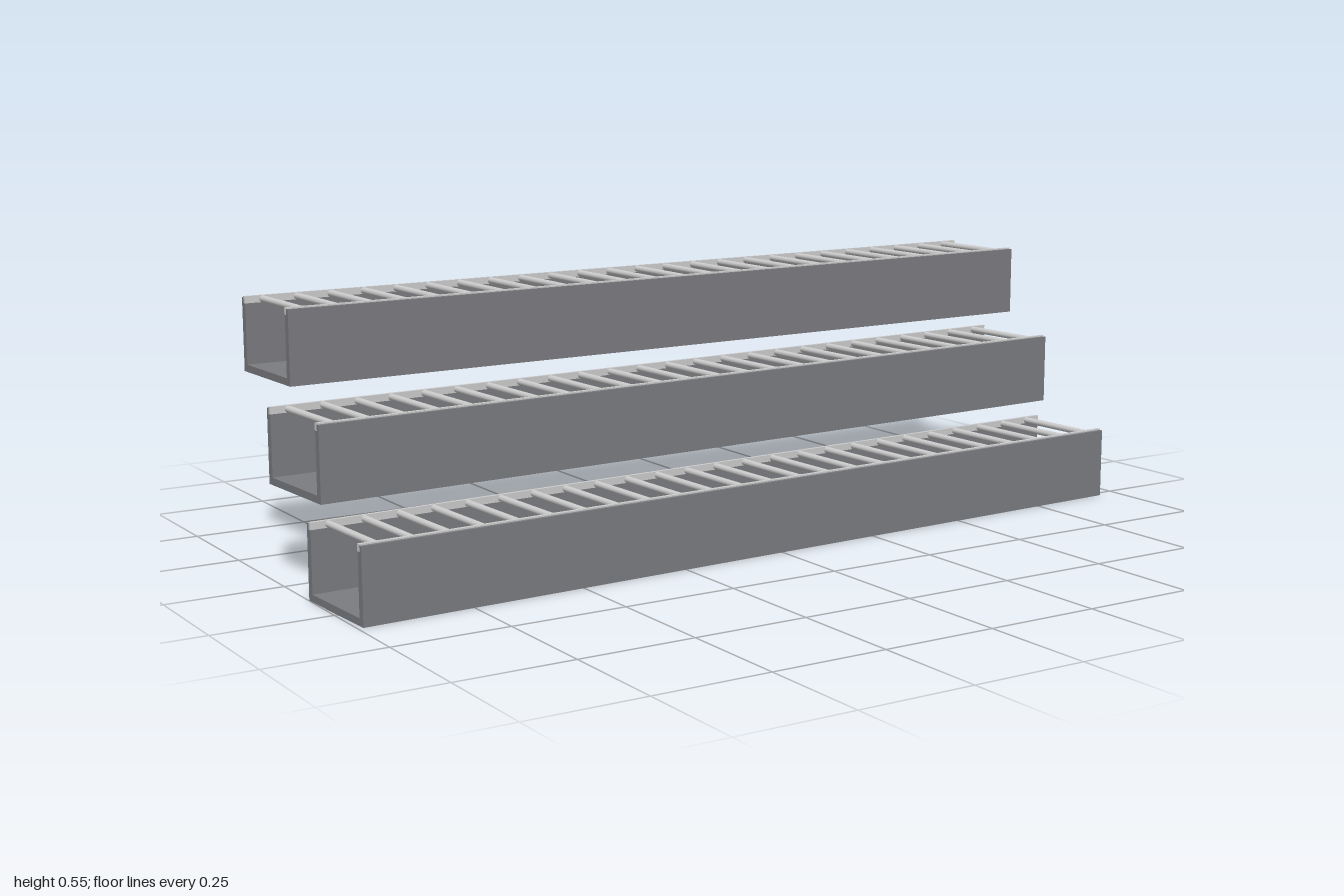
import * as THREE from 'three';

const LENGTH = 1.941, WIDTH = 0.233, WALL = 0.0155, WALL_H = 0.157, TOP = 0.16;
const RUNGS = 25, RUNG_R = 0.0073, RAIL_W = 0.008;

const steel = new THREE.MeshStandardMaterial({ color: 0x7b7c80 });
steel.name = 'dark grey steel';
const bright = new THREE.MeshStandardMaterial({ color: 0xcdcdcd });
bright.name = 'light grey metal';

function add(parent, name, geometry, material, x, y, z) {
  const mesh = new THREE.Mesh(geometry, material);
  mesh.name = name;
  mesh.position.set(x, y, z);
  parent.add(mesh);
  return mesh;
}

// U-shaped profile extruded along x
function channelGeometry() {
  const w = WIDTH / 2, i = w - WALL;
  const shape = new THREE.Shape([
    [-w, 0], [w, 0], [w, WALL_H], [i, WALL_H], [i, WALL], [-i, WALL], [-i, WALL_H], [-w, WALL_H],
  ].map(([x, y]) => new THREE.Vector2(x, y)));
  const g = new THREE.ExtrudeGeometry(shape, { depth: LENGTH, bevelEnabled: false });
  return g.translate(0, 0, -LENGTH / 2).rotateY(Math.PI / 2);
}

const channelGeo = channelGeometry();
const railGeo = new THREE.BoxGeometry(LENGTH + 0.001, 0.015, RAIL_W);
const rungGeo = new THREE.CylinderGeometry(RUNG_R, RUNG_R, WIDTH - 2 * WALL + 0.004, 16).rotateX(Math.PI / 2);

function createTray(name) {
  const tray = new THREE.Group();
  tray.name = name;
  add(tray, 'channel', channelGeo, steel, 0, 0, 0);

  // Thin rails set into the inner top edge of each wall
  const railZ = WIDTH / 2 - WALL + RAIL_W / 2 - 0.0005;
  for (const s of [1, -1]) {
    add(tray, s > 0 ? 'frontRail' : 'backRail', railGeo, bright, 0, TOP - 0.0075, s * railZ);
  }

  // Round rungs between the rails
  const step = LENGTH / RUNGS;
  for (let k = 0; k < RUNGS; k++) {
    add(tray, 'rung', rungGeo, bright, (k + 0.5) * step - LENGTH / 2, TOP - 0.0075, 0);
  }
  return tray;
}

export function createModel() {
  const model = new THREE.Group();
  model.name = 'steppedTrays';
  // Three trays, each higher, further back and turned slightly
  const trays = [
    ['lowerTray', -0.0245, 0, 0.198, 0.0463],
    ['middleTray', -0.018, 0.196, -0.0115, 0.053],
    ['upperTray', 0.0235, 0.391, -0.2155, 0.0273],
  ];
  for (const [name, x, y, z, turn] of trays) {
    const tray = createTray(name);
    tray.position.set(x, y, z);
    tray.rotation.y = turn;
    model.add(tray);
  }
  return model;
}
